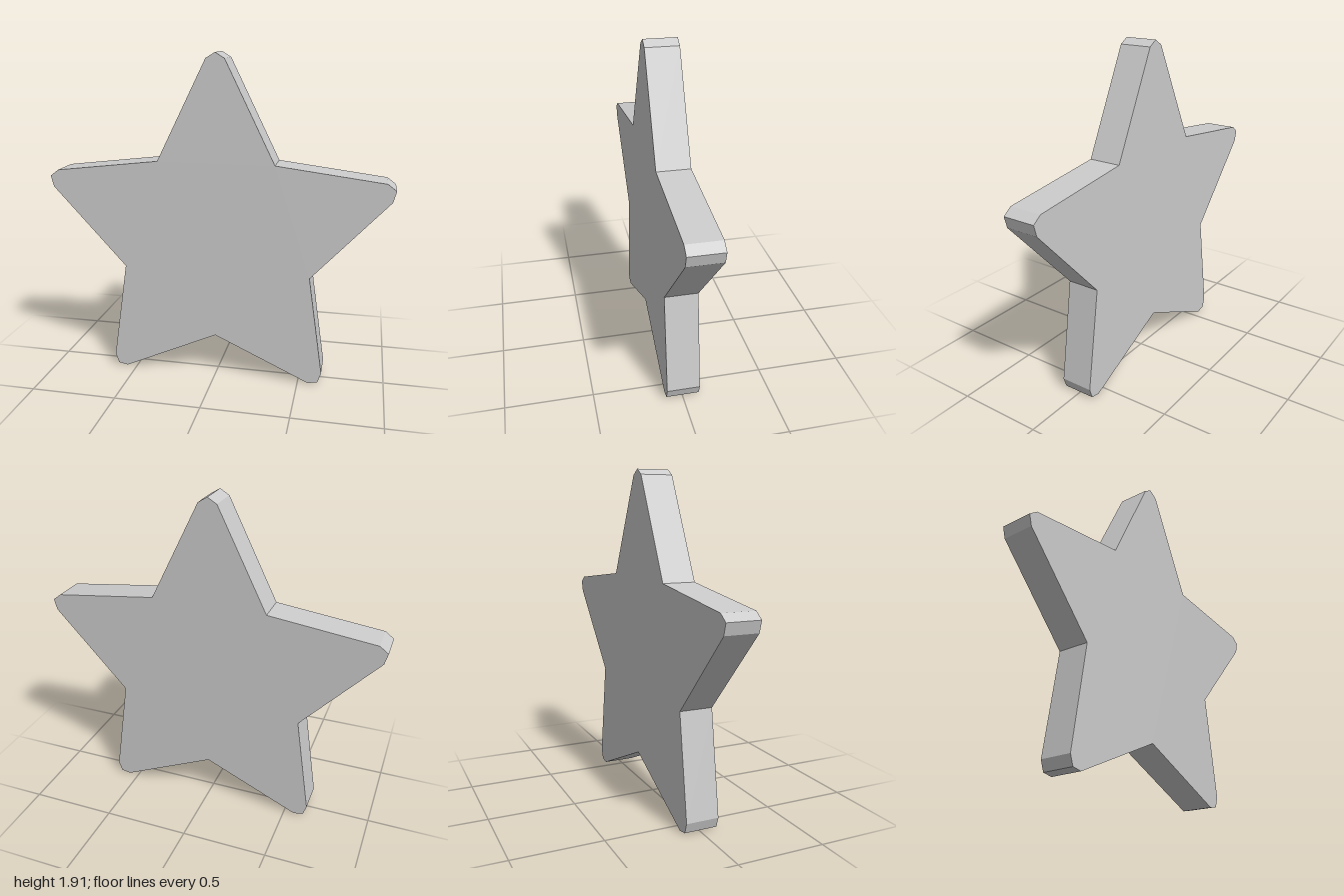
import * as THREE from 'three';

const DEPTH = 0.19;

// Right half of the star outline, from the top tip down to the notch between the legs
const HALF = [
  [0, 1.91], [0.053, 1.878],                        // top tip
  [0.339, 1.301],                                   // upper notch
  [0.951, 1.226], [1, 1.189], [0.983, 1.125],       // side tip
  [0.55, 0.656],                                    // lower notch
  [0.638, 0.07], [0.618, 0.011], [0.561, 0],        // bottom tip
  [0, 0.256],                                       // bottom notch
];

export function createModel() {
  const group = new THREE.Group();
  group.name = 'star';

  // Mirror the half outline to close the star
  const mirrored = HALF.slice(1, -1).reverse().map(([x, y]) => [-x, y]);
  const outline = [...HALF, ...mirrored].map(([x, y]) => new THREE.Vector2(x, y));

  // Flat plate with sharp edges
  const geometry = new THREE.ExtrudeGeometry(new THREE.Shape(outline), {
    depth: DEPTH,
    bevelEnabled: false,
  });
  geometry.translate(0, 0, -DEPTH / 2);

  const material = new THREE.MeshStandardMaterial({ color: 0xcccccc, flatShading: true });
  const plate = new THREE.Mesh(geometry, material);
  plate.name = 'starPlate';
  group.add(plate);
  return group;
}
